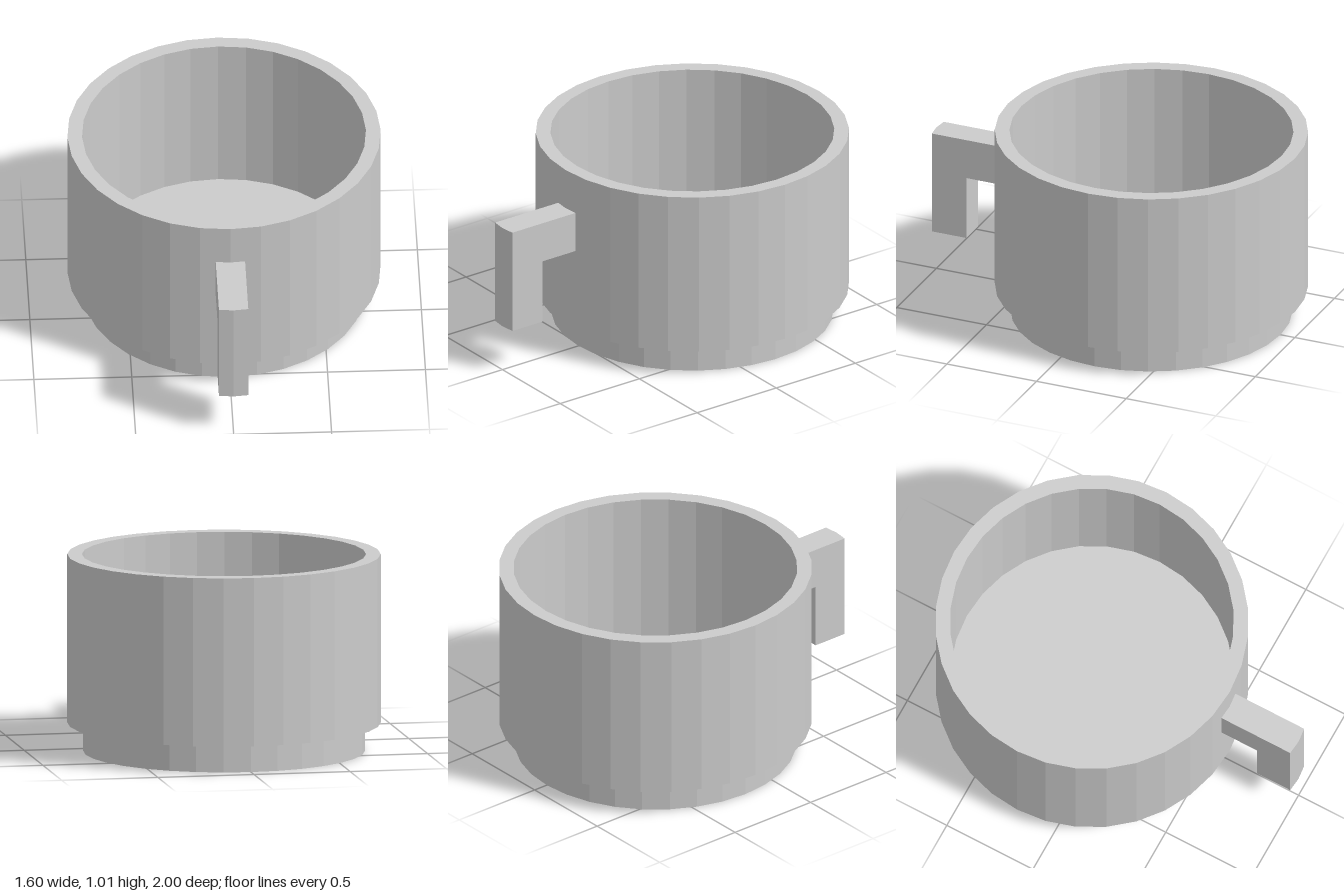
import * as THREE from 'three';

const material = new THREE.MeshStandardMaterial({ color: 0xcccccc, flatShading: true });
const SIDES = 32;
const CENTRE_Z = -0.2;

// Faceted round part from [radius, height] points
function turned(name, profile) {
  const points = profile.map(([r, y]) => new THREE.Vector2(r, y));
  const mesh = new THREE.Mesh(new THREE.LatheGeometry(points, SIDES), material);
  mesh.name = name;
  mesh.position.z = CENTRE_Z;
  return mesh;
}

// Upright prism with an [x, z] outline between two heights
function prism(name, outline, bottom, top) {
  const shape = new THREE.Shape(outline.map(([x, z]) => new THREE.Vector2(x, z)));
  const geometry = new THREE.ExtrudeGeometry(shape, { depth: top - bottom, bevelEnabled: false });
  geometry.rotateX(Math.PI / 2).translate(0, top, 0);
  const mesh = new THREE.Mesh(geometry, material);
  mesh.name = name;
  return mesh;
}

export function createModel() {
  const cup = new THREE.Group();
  cup.name = 'cup';

  // Foot ring with a shallow recess underneath
  cup.add(turned('foot', [
    [0, 0.083], [0.605, 0.083], [0.605, 0], [0.72, 0], [0.72, 0.145],
  ]));

  // Hollow bowl: underside ledge, outer wall, rim, inner wall, floor
  cup.add(turned('bowl', [
    [0.72, 0.145], [0.8, 0.145], [0.8, 1.015], [0.725, 1.015], [0.725, 0.16], [0, 0.16],
  ]));

  // Open hooked handle: an arm from the wall and a hanging grip, slightly bowed at the front
  const w = 0.075;
  const handle = new THREE.Group();
  handle.name = 'handle';
  handle.add(
    prism('handleArm', [[-w, 0.585], [w, 0.585], [w, 0.8], [-w, 0.8]], 0.585, 0.8),
    prism('handleGrip', [[-w, 0.8], [w, 0.8], [w, 0.992], [0, 1], [-w, 0.992]], 0.245, 0.8),
  );
  cup.add(handle);

  return cup;
}
